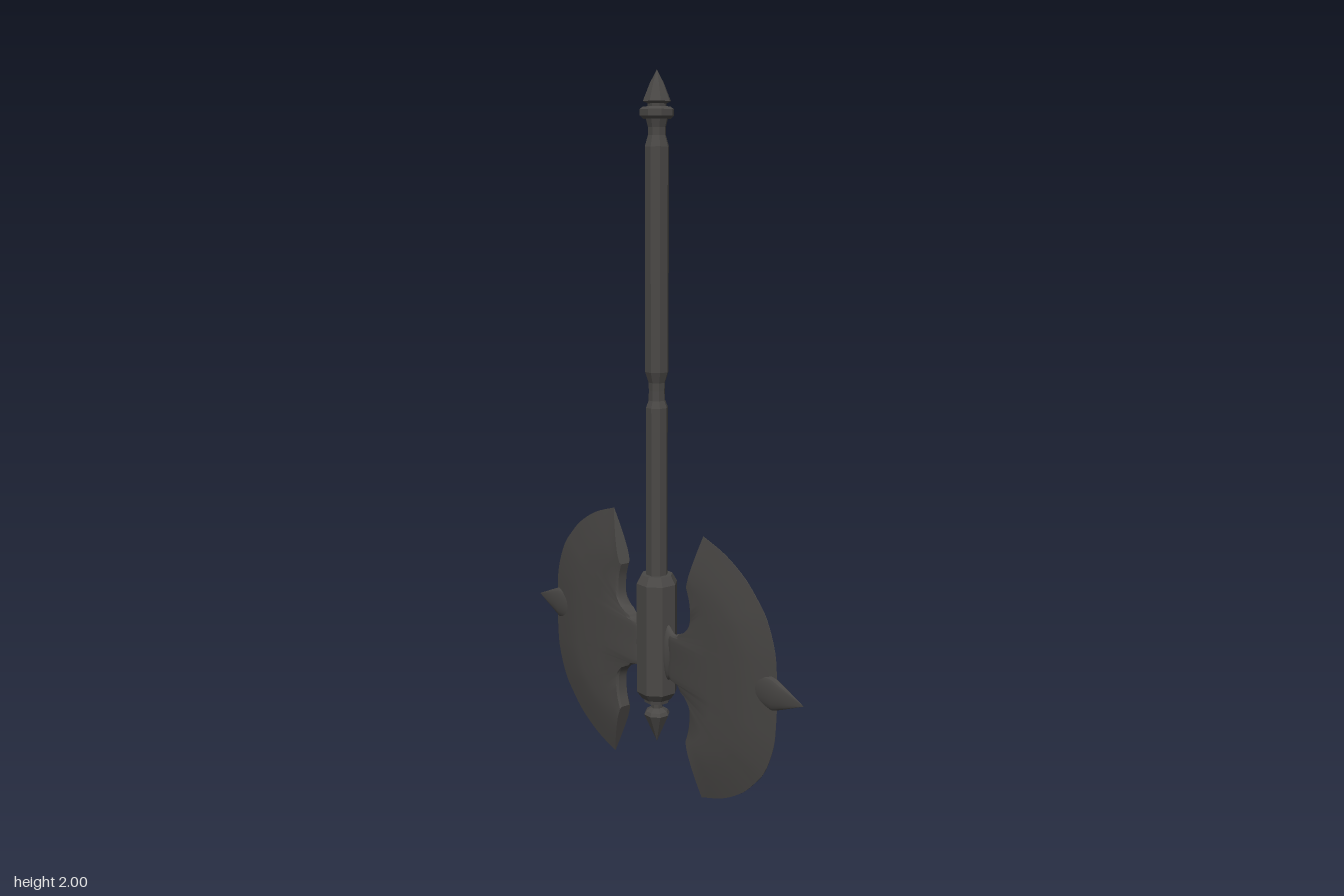
import * as THREE from 'three';
import { toCreasedNormals } from 'three/addons/utils/BufferGeometryUtils.js';

const darkIron = new THREE.MeshStandardMaterial({ color: 0x4a4846 });
const HEAD_Y = 0.384;

function mesh(name, geo, crease) {
  const m = new THREE.Mesh(toCreasedNormals(geo, crease), darkIron);
  m.name = name;
  return m;
}

// Eight-sided turned part with flats facing the axes; profile is [half width, y] from the bottom up
function turned(name, profile) {
  const pts = profile.map(([r, y]) => new THREE.Vector2(r / Math.cos(Math.PI / 8), y));
  return mesh(name, new THREE.LatheGeometry(pts, 8, Math.PI / 8), 0.2);
}

// Flattened round part lying along +x; profile is [radius, x]
function flattened(name, profile, zScale, y) {
  const geo = new THREE.LatheGeometry(profile.map(([r, x]) => new THREE.Vector2(r, x)), 20);
  geo.rotateZ(-Math.PI / 2).scale(1, 1, zScale).translate(0, y, 0);
  return mesh(name, geo, 0.7);
}

// Mirrors the upper half of an outline and makes a smooth curve of it
function outline(half) {
  const low = half.slice(1).reverse().map(([x, y]) => [x, -y]);
  const pts = [...low, ...half].map(([x, y]) => new THREE.Vector3(x, y, 0));
  return new THREE.CatmullRomCurve3(pts, false, 'centripetal');
}

// Blade skinned between its inner and cutting edges, thinning toward the cutting edge
function bladeGeometry() {
  const inner = outline([[0.075, 0], [0.075, 0.062], [0.105, 0.066], [0.12, 0.081],
    [0.135, 0.086], [0.163, 0.116], [0.165, 0.176], [0.153, 0.22]]);
  const outer = outline([[0.51, 0], [0.508, 0.06], [0.5, 0.13], [0.465, 0.214],
    [0.425, 0.26], [0.381, 0.3], [0.3, 0.347], [0.206, 0.379]]);
  const rows = 56, n = 7, ring = 2 * n;
  const pos = [], idx = [];
  for (let i = 0; i <= rows; i++) {
    const a = inner.getPoint(i / rows), b = outer.getPoint(i / rows);
    const len = a.distanceTo(b), bevel = Math.min(0.14, 0.75 * len) / len;
    const section = [[0, 0.014], [0.04, 0.019], [(1 - bevel) * 0.6, 0.02], [1 - bevel, 0.02],
      [1 - bevel * 0.7, 0.016], [1 - bevel * 0.35, 0.009], [1, 0.0006]];
    const pts = section.map(([s, h]) => [a.x + (b.x - a.x) * s, a.y + (b.y - a.y) * s, h]);
    for (const p of pts) pos.push(...p);
    for (const [x, y, z] of pts.reverse()) pos.push(x, y, -z);
  }
  for (let i = 0; i < rows; i++) {
    for (let j = 0; j < ring; j++) {
      const k = (j + 1) % ring, p = i * ring, q = p + ring;
      idx.push(p + j, p + k, q + j, p + k, q + k, q + j);
    }
  }
  // Close the two horn ends
  for (let j = 0; j < n - 1; j++) {
    const c = ring - 1 - j, d = c - 1, t = rows * ring;
    idx.push(t + j, t + j + 1, t + c, t + j + 1, t + d, t + c);
    idx.push(j, c, j + 1, j + 1, c, d);
  }
  const geo = new THREE.BufferGeometry();
  geo.setAttribute('position', new THREE.Float32BufferAttribute(pos, 3));
  geo.setIndex(idx);
  return geo.translate(0, HEAD_Y, 0);
}

// One side of the axe head: blade, neck and spike
function axeSide(name) {
  const g = new THREE.Group();
  g.name = name;
  g.add(
    mesh('blade', bladeGeometry(), 0.6),
    flattened('neck', [[0, 0.045], [0.075, 0.045], [0.082, 0.055], [0.078, 0.062], [0.064, 0.078],
      [0.06, 0.095], [0, 0.11]], 0.23, 0.39),
    flattened('spike', [[0, 0.37], [0.035, 0.39], [0.048, 0.44], [0.048, 0.495], [0.036, 0.525],
      [0, 0.61]], 0.26, 0.402),
  );
  return g;
}

export function createModel() {
  const model = new THREE.Group();
  model.name = 'doubleAxe';

  // Handle, from the head end up to the pommel
  model.add(
    turned('shaft', [[0.029, 0.58], [0.029, 1.09], [0.022, 1.11], [0.021, 1.16]]),
    turned('grip', [[0.021, 1.12], [0.022, 1.16], [0.031, 1.19], [0.031, 1.8], [0.023, 1.83],
      [0.023, 1.85], [0.029, 1.875]]),
    turned('pommelRing', [[0, 1.872], [0.036, 1.872], [0.044, 1.88], [0.044, 1.897],
      [0.036, 1.904], [0, 1.904]]),
    turned('pommelSpike', [[0.024, 1.9], [0.024, 1.912], [0.036, 1.918], [0.018, 1.965], [0, 2]]),
  );

  // Socket and lower finial
  model.add(
    turned('socket', [[0, 0.24], [0.04, 0.24], [0.055, 0.262], [0.055, 0.585], [0.042, 0.61],
      [0, 0.61]]),
    turned('finialCollar', [[0.016, 0.205], [0.016, 0.222], [0.034, 0.228], [0.036, 0.245]]),
    turned('finial', [[0, 0.105], [0.035, 0.19], [0.03, 0.2], [0.016, 0.21], [0, 0.21]]),
  );

  // Two opposite blades
  const left = axeSide('leftAxeSide');
  const right = axeSide('rightAxeSide');
  right.rotation.y = Math.PI;
  model.add(left, right);
  return model;
}
